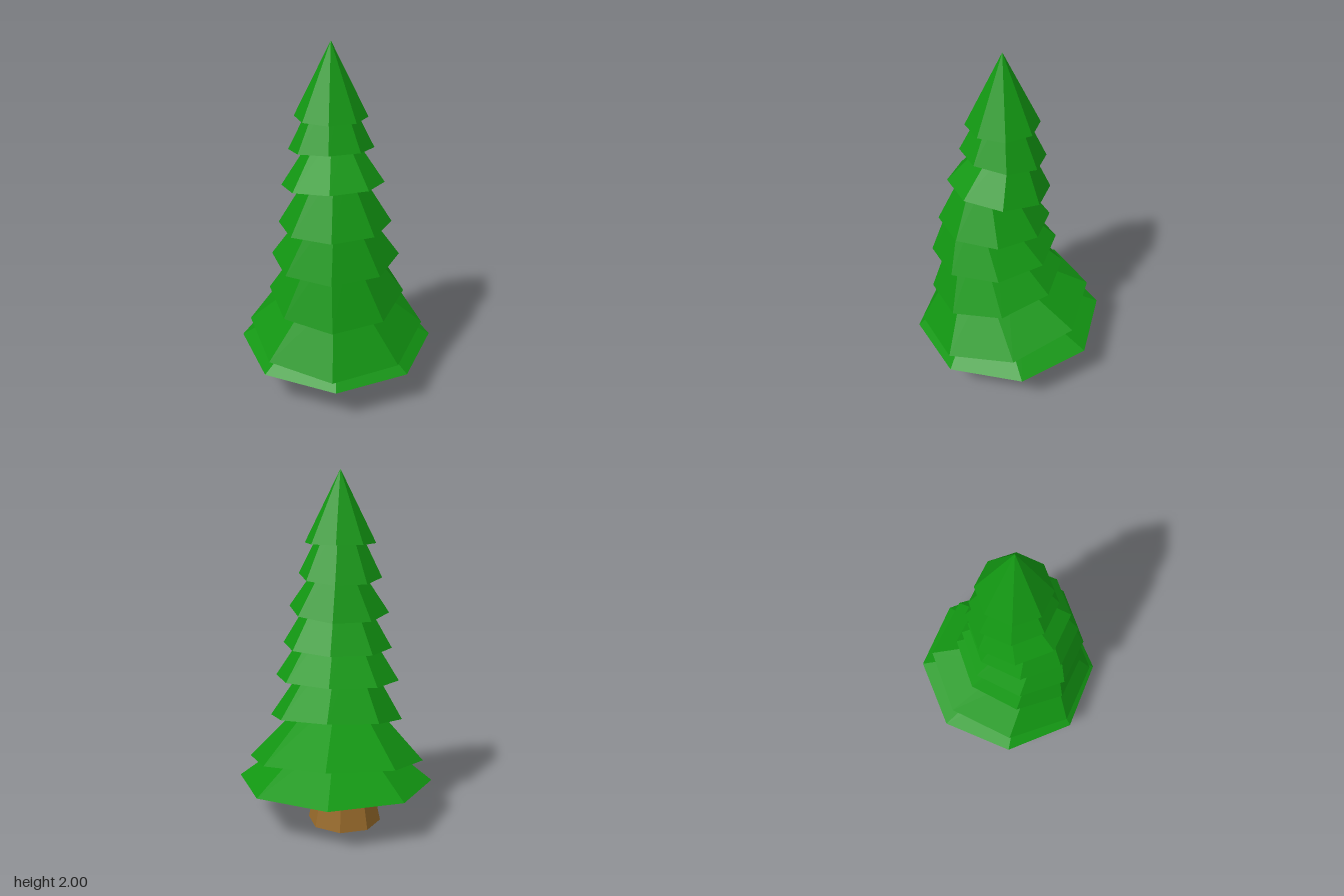
import * as THREE from 'three';

const SIDES = 8;
const leafMaterial = new THREE.MeshStandardMaterial({ color: 0x129612, flatShading: true });
const barkMaterial = new THREE.MeshStandardMaterial({ color: 0x976a2a, flatShading: true });

// A closed octagonal skirt: a tilted base ring that narrows towards an off-centre apex.
// reach is how far up to the apex it goes (1 = pointed).
function skirt({ base, r, apex, tiltX = 0, tiltZ = 0, twist = 0, reach = 0.65 }) {
  const geometry = new THREE.CylinderGeometry(1 - reach, 1, 1, SIDES, 1, false, twist);
  const p = geometry.attributes.position;
  for (let i = 0; i < p.count; i++) {
    const t = (p.getY(i) + 0.5) * reach;
    const dx = p.getX(i) * r, dz = p.getZ(i) * r;
    p.setXYZ(
      i,
      base[0] + dx + (apex[0] - base[0]) * t,
      base[1] + dx * tiltX + dz * tiltZ + (apex[1] - base[1]) * t,
      base[2] + dz + (apex[2] - base[2]) * t
    );
  }
  geometry.computeVertexNormals();
  return geometry;
}

// Foliage from the tip down to the widest skirt
const tiers = [
  { base: [-0.025, 1.6, 0.03], r: 0.2, apex: [-0.025, 2, 0.03], reach: 1 },
  { base: [-0.025, 1.42, 0.028], r: 0.235, apex: [-0.025, 1.89, 0.03], tiltX: 0.04, tiltZ: 0.13 },
  { base: [-0.015, 1.225, 0.052], r: 0.285, apex: [-0.02, 1.645, -0.02], tiltX: 0.05, tiltZ: 0.124 },
  { base: [-0.002, 1.01, 0.082], r: 0.315, apex: [0, 1.54, 0.14], tiltX: 0.03, tiltZ: 0.01 },
  { base: [0, 0.815, 0.085], r: 0.36, apex: [0.01, 1.36, 0.24], tiltX: 0.02, tiltZ: -0.07 },
  { base: [0.005, 0.58, 0.07], r: 0.388, apex: [-0.01, 1.18, 0.23], tiltZ: -0.19 },
  { base: [0, 0.342, 0.025], r: 0.51, apex: [0, 0.85, 0.22], tiltX: -0.01, tiltZ: -0.193, twist: 0.02 },
  { base: [0, 0.23, 0], r: 0.563, apex: [0, 0.63, 0.13], tiltZ: -0.054, twist: 0.055 }
];

export function createModel() {
  const tree = new THREE.Group();
  tree.name = 'pineTree';

  const foliage = new THREE.Group();
  foliage.name = 'foliage';
  tiers.forEach((tier, i) => {
    const mesh = new THREE.Mesh(skirt(tier), leafMaterial);
    mesh.name = `foliageTier${i + 1}`;
    foliage.add(mesh);
  });
  tree.add(foliage);

  // Tapered trunk, set slightly off centre
  const trunk = new THREE.Mesh(new THREE.CylinderGeometry(0.158, 0.21, 0.25, SIDES), barkMaterial);
  trunk.name = 'trunk';
  trunk.position.set(-0.06, 0.125, -0.05);
  tree.add(trunk);

  return tree;
}
